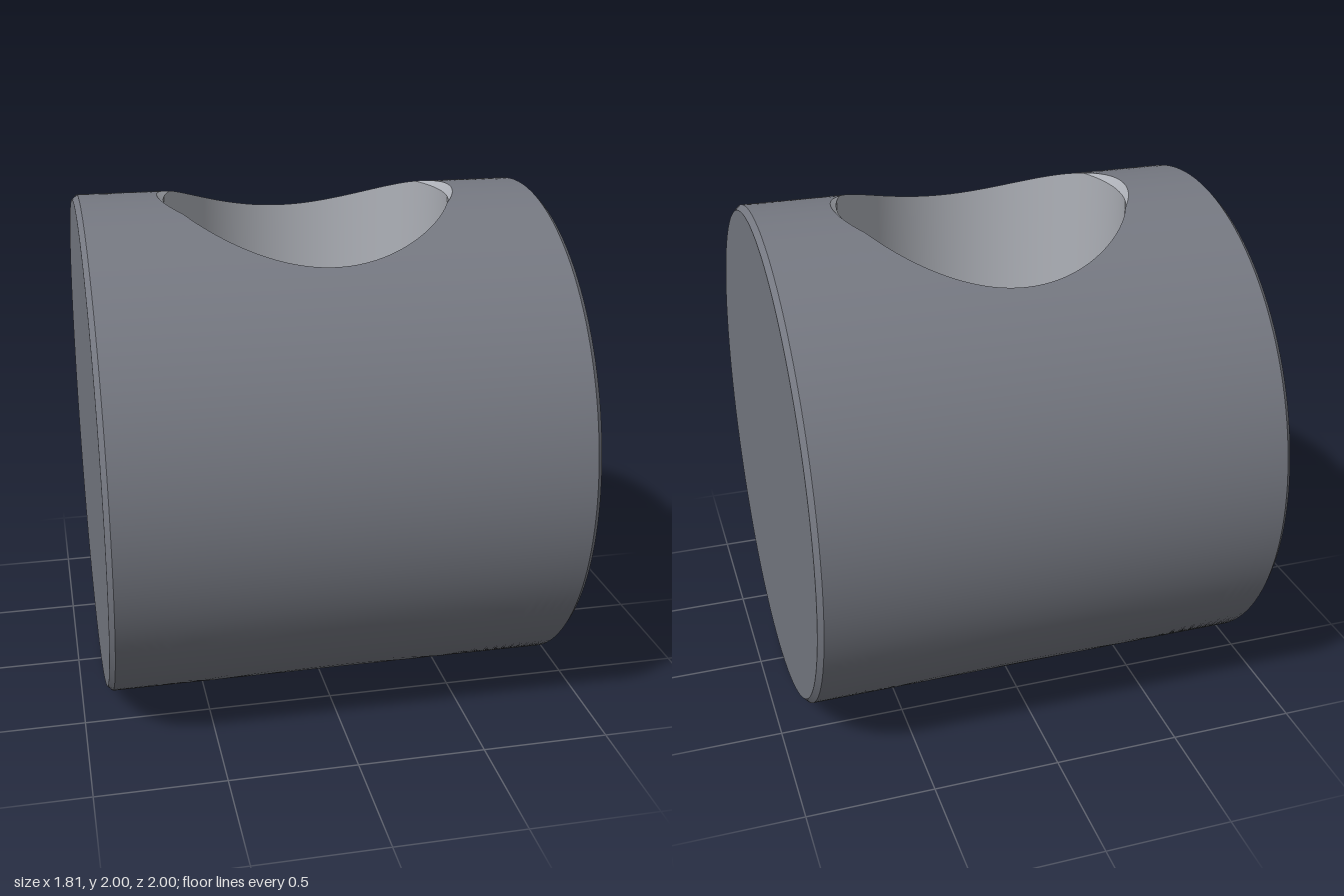
import * as THREE from 'three';

const HALF = 0.905, BEVEL = 0.02, HOLE = 0.56, SINK = 0.586;
const N = 256;
const bodyMaterial = new THREE.MeshStandardMaterial({ color: 0x757881 });
const holeMaterial = new THREE.MeshStandardMaterial({ color: 0xaeb1b8 });

// Closed ring of quads; point(a, t) gives a position and a normal
function ringSurface(name, material, rows, point) {
  const pos = [], nor = [], idx = [];
  for (let j = 0; j <= rows; j++) {
    for (let i = 0; i <= N; i++) {
      const { p, n } = point((i / N) * Math.PI * 2, j / rows);
      pos.push(...p);
      nor.push(...n);
      if (i < N && j < rows) {
        const k = j * (N + 1) + i, up = k + N + 1;
        idx.push(k, k + 1, up, k + 1, up + 1, up);
      }
    }
  }
  const geo = new THREE.BufferGeometry();
  geo.setAttribute('position', new THREE.Float32BufferAttribute(pos, 3));
  geo.setAttribute('normal', new THREE.Float32BufferAttribute(nor, 3));
  geo.setIndex(idx);
  const mesh = new THREE.Mesh(geo, material);
  mesh.name = name;
  return mesh;
}

// Where the 45 degree countersunk hole meets the unit cylinder
function rim(a) {
  let r = HOLE;
  for (let k = 0; k < 20; k++) {
    const h = Math.sqrt(1 - (r * Math.sin(a)) ** 2);
    r = Math.max(HOLE, SINK - (1 - h));
  }
  return { r, h: Math.sqrt(1 - (r * Math.sin(a)) ** 2) };
}
const wallTop = (a) => Math.min(rim(a).h, 1 - (SINK - HOLE));

// Even walk round a square, in step with the angle
const side = (v) => THREE.MathUtils.clamp(Math.asin(THREE.MathUtils.clamp(v, -1, 1)) * 4 / Math.PI, -1, 1);

function createHalf() {
  const half = new THREE.Group();

  // Half of the round body, spread from the hole's rim to its straight borders
  half.add(ringSurface('bodyShell', bodyMaterial, 14, (a, t) => {
    const { r } = rim(a);
    const x = THREE.MathUtils.lerp(r * Math.cos(a), (HALF - BEVEL) * side(Math.cos(a)), t);
    const th = THREE.MathUtils.lerp(Math.asin(r * Math.sin(a)), (Math.PI / 2) * side(Math.sin(a)), t);
    const n = [0, Math.cos(th), Math.sin(th)];
    return { p: [x, n[1], n[2]], n };
  }));

  // Straight wall of the cross hole
  half.add(ringSurface('holeWall', holeMaterial, 1, (a, t) => ({
    p: [HOLE * Math.cos(a), wallTop(a) * t, HOLE * Math.sin(a)],
    n: [-Math.cos(a), 0, -Math.sin(a)],
  })));

  // Countersink, visible only where the rim is highest
  half.add(ringSurface('holeCountersink', holeMaterial, 1, (a, t) => {
    const { r, h } = rim(a);
    const rad = THREE.MathUtils.lerp(HOLE, r, t);
    return {
      p: [rad * Math.cos(a), THREE.MathUtils.lerp(wallTop(a), h, t), rad * Math.sin(a)],
      n: [-Math.cos(a) * Math.SQRT1_2, Math.SQRT1_2, -Math.sin(a) * Math.SQRT1_2],
    };
  }));
  return half;
}

export function createModel() {
  const model = new THREE.Group();
  model.name = 'crossDrilledPin';

  const upper = createHalf();
  upper.name = 'upperHalf';
  const lower = upper.clone();
  lower.name = 'lowerHalf';
  lower.rotation.x = Math.PI;
  upper.position.y = lower.position.y = 1;
  model.add(upper, lower);

  // Bevelled flat ends
  for (const s of [1, -1]) {
    const end = new THREE.Group();
    end.name = s > 0 ? 'leftEnd' : 'rightEnd';
    const bevel = new THREE.Mesh(
      new THREE.CylinderGeometry(1 - BEVEL, 1, BEVEL, N / 2, 1, true), bodyMaterial);
    bevel.name = 'endBevel';
    bevel.position.y = HALF - BEVEL / 2;
    const face = new THREE.Mesh(new THREE.CircleGeometry(1 - BEVEL, N / 2), bodyMaterial);
    face.name = 'endFace';
    face.rotation.x = -Math.PI / 2;
    face.position.y = HALF;
    end.add(bevel, face);
    end.rotation.z = -s * Math.PI / 2;
    end.position.y = 1;
    model.add(end);
  }
  return model;
}
